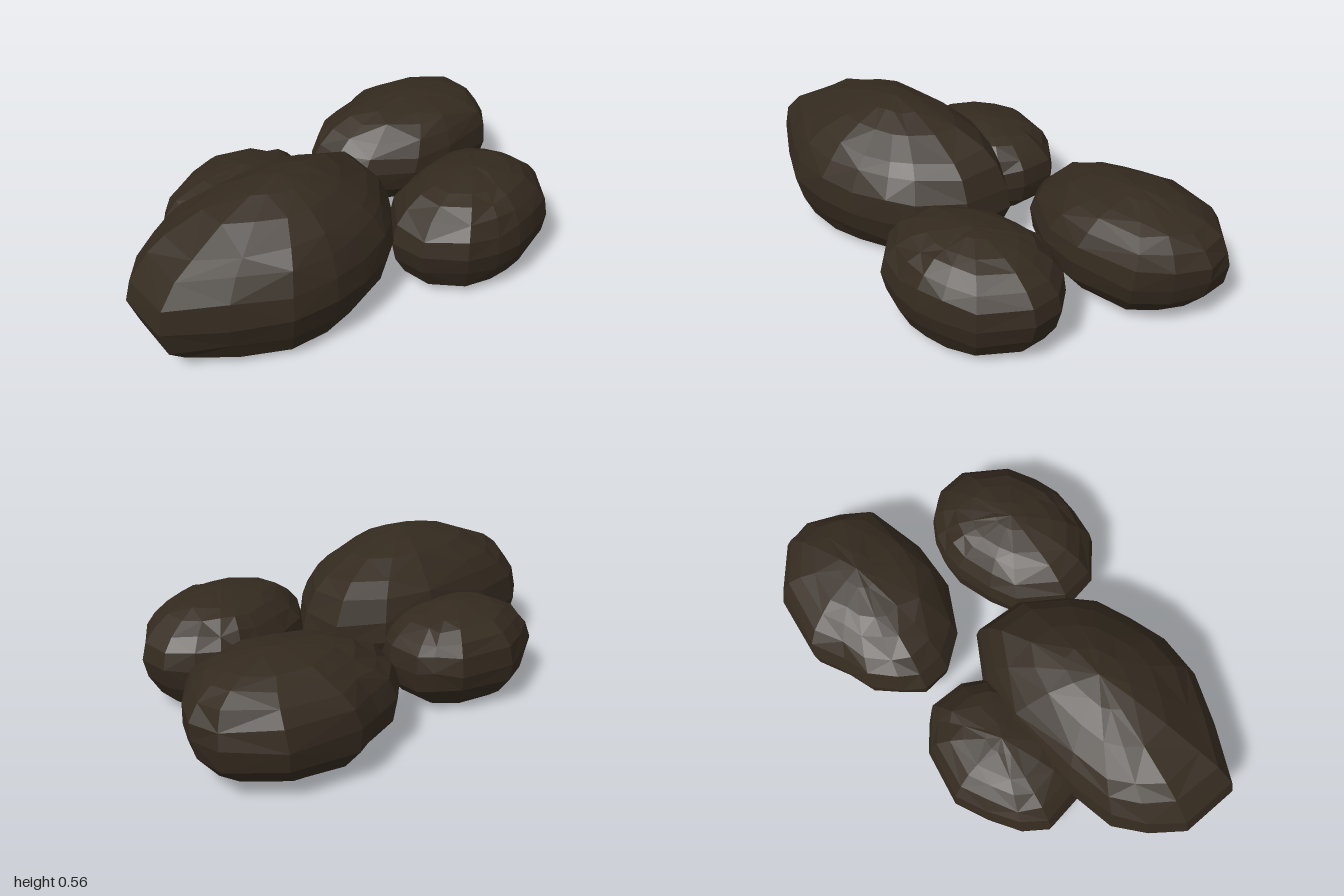
import * as THREE from 'three';

// Profiles: [height, outline scale] from the flat base up to the crown
const BIG = [[0, 0.7], [0.035, 0.82], [0.11, 0.94], [0.21, 1], [0.3, 0.96], [0.38, 0.86], [0.43, 0.74], [0.495, 0.5], [0.535, 0.25]];
const round = (height, base) => [
  [0, base], [0.1, base * 0.45 + 0.52], [0.28, 0.96], [0.47, 1], [0.64, 0.95],
  [0.77, 0.84], [0.87, 0.67], [0.93, 0.49], [0.98, 0.2],
].map(([y, scale]) => [y * height, scale]);

// Plan outlines as [x, z], clockwise from above; peak is [x, y, z]
const ROCKS = [
  { name: 'largeRock', seed: 3, profile: BIG, centre: [-0.42, 0.07], peak: [-0.37, 0.557, 0.05],
    outline: [[-1, 0.17], [-0.98, -0.07], [-0.88, -0.18], [-0.76, -0.26], [-0.55, -0.28], [-0.21, -0.28], [0, -0.2],
      [0.16, -0.08], [0.14, 0.12], [0, 0.28], [-0.1, 0.35], [-0.25, 0.4], [-0.41, 0.43], [-0.6, 0.41], [-0.8, 0.3]] },
  { name: 'frontRock', seed: 11, profile: round(0.415, 0.66), centre: [0.36, 0.33], peak: [0.37, 0.415, 0.33],
    outline: [[-0.01, 0.28], [0.13, 0.12], [0.25, 0.08], [0.41, 0.05], [0.5, 0.06], [0.58, 0.09], [0.66, 0.15],
      [0.73, 0.25], [0.73, 0.38], [0.6, 0.54], [0.47, 0.585], [0.36, 0.61], [0.25, 0.6], [0.12, 0.56], [0, 0.43]] },
  { name: 'sideRock', seed: 23, profile: round(0.43, 0.54), centre: [0.57, -0.29], peak: [0.63, 0.432, -0.27],
    outline: [[0.14, -0.38], [0.2, -0.45], [0.3, -0.53], [0.42, -0.555], [0.56, -0.605], [0.83, -0.54], [0.99, -0.38],
      [1, -0.25], [0.93, -0.12], [0.83, -0.01], [0.57, 0.02], [0.4, -0.01], [0.22, -0.13], [0.14, -0.26]] },
  { name: 'backRock', seed: 37, profile: round(0.365, 0.62), centre: [-0.27, -0.34], peak: [-0.25, 0.368, -0.34],
    outline: [[-0.6, -0.42], [-0.53, -0.51], [-0.4, -0.57], [-0.27, -0.615], [-0.05, -0.55], [0.03, -0.47], [0.07, -0.42],
      [0.06, -0.27], [0, -0.18], [-0.12, -0.1], [-0.3, -0.07], [-0.5, -0.12], [-0.59, -0.25]] },
];

function seeded(seed) {
  let s = seed * 7919;
  return () => (s = (s * 16807) % 2147483647) / 2147483647 - 0.5;
}

// Stack scaled, slightly uneven copies of the outline and close both ends
function rockGeometry({ seed, profile, centre: [cx, cz], peak, outline }) {
  const rand = seeded(seed);
  const n = outline.length;
  const positions = [];
  const index = [];
  profile.forEach(([y, scale], k) => {
    const drift = Math.max(0, y / peak[1] - 0.5) * 2; // lean towards the peak
    const ox = cx + (peak[0] - cx) * drift;
    const oz = cz + (peak[2] - cz) * drift;
    for (const [x, z] of outline) {
      const s = k === 0 || scale === 1 ? scale : scale * (1 + rand() * 0.03);
      const lift = k === 0 ? 0 : rand() * (k > profile.length - 3 ? 0.006 : 0.02);
      positions.push(ox + (x - cx) * s, y + lift, oz + (z - cz) * s);
    }
  });
  const top = positions.length / 3;
  positions.push(...peak, cx, 0, cz);
  const last = (profile.length - 1) * n;
  for (let i = 0; i < n; i++) {
    const j = (i + 1) % n;
    for (let k = 0; k < profile.length - 1; k++) {
      const a = k * n + j, b = k * n + i, c = b + n, d = a + n;
      if ((i + k) % 2) index.push(a, b, c, a, c, d);
      else index.push(a, b, d, b, c, d);
    }
    index.push(top, last + j, last + i, top + 1, i, j);
  }
  const indexed = new THREE.BufferGeometry();
  indexed.setAttribute('position', new THREE.Float32BufferAttribute(positions, 3));
  indexed.setIndex(index);
  const geometry = indexed.toNonIndexed(); // separate faces give flat facets
  geometry.computeVertexNormals();
  return geometry;
}

export function createModel() {
  const group = new THREE.Group();
  group.name = 'rockCluster';
  const stone = new THREE.MeshStandardMaterial({ color: 0x342a1f });
  stone.name = 'dark brown stone';
  for (const rock of ROCKS) {
    const mesh = new THREE.Mesh(rockGeometry(rock), stone);
    mesh.name = rock.name;
    group.add(mesh);
  }
  return group;
}
